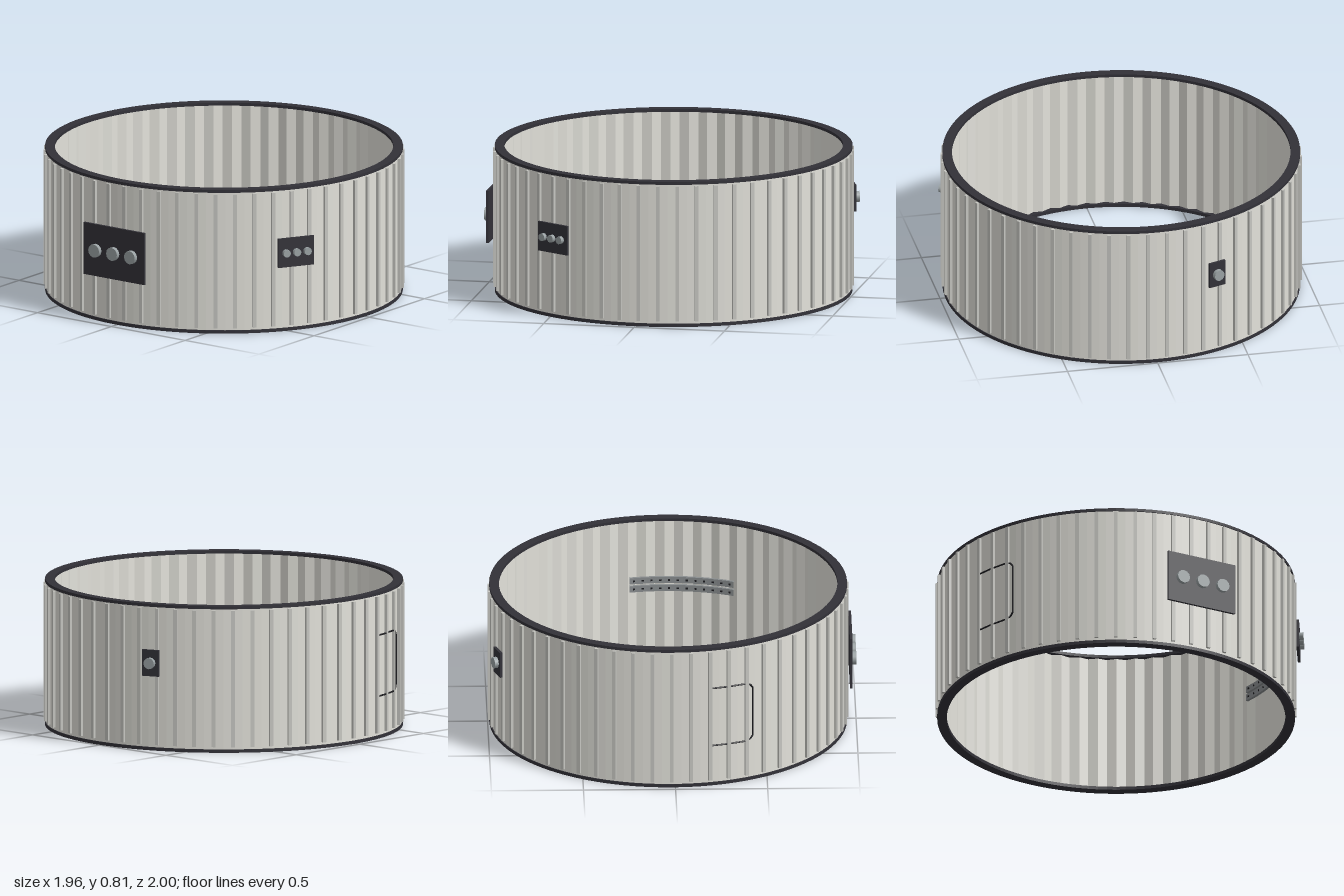
import * as THREE from 'three';

const mat = (name, color) => {
  const m = new THREE.MeshStandardMaterial({ color });
  m.name = name;
  return m;
};

export function createModel() {
  const wallMat = mat('wall light grey', 0xe2e1da);
  const ribMat = mat('rib grey', 0xc6c6c1);
  const darkMat = mat('rim charcoal', 0x323138);
  const plateMat = mat('plate charcoal', 0x333239);
  const buttonMat = mat('button grey', 0x9aa2a4);
  const railMat = mat('rail grey', 0x8a8e90);
  const lineMat = mat('outline black', 0x1c1c20);

  const model = new THREE.Group();
  model.name = 'ringEnclosure';
  const body = new THREE.Group();
  body.name = 'body';
  body.position.z = -0.02;
  model.add(body);

  const COUNT = 58, STEP = Math.PI * 2 / COUNT, RAD = Math.PI / 180;

  const add = (parent, name, geo, material) => {
    const mesh = new THREE.Mesh(geo, material);
    mesh.name = name;
    parent.add(mesh);
    return mesh;
  };
  // Group facing outward at an angle measured from the front towards +x
  const station = (name, angle, radius, y) => {
    const g = new THREE.Group();
    g.name = name;
    g.position.set(Math.sin(angle) * radius, y, Math.cos(angle) * radius);
    g.rotation.y = angle;
    body.add(g);
    return g;
  };
  // Faceted hoop with a rectangular section; fold pushes every second inner edge inward
  const hoop = (r0, r1, y0, y1, sides, start = 0, length = Math.PI * 2, fold = 0) => {
    const pts = [[r0, y0], [r1, y0], [r1, y1], [r0, y1], [r0, y0]].map(p => new THREE.Vector2(...p));
    const lathe = new THREE.LatheGeometry(pts, sides, start, length);
    const pos = lathe.attributes.position;
    for (let i = 0; i < pos.count; i++) {
      const column = Math.floor(i / 5), point = i % 5;
      if (column % 2 || point === 1 || point === 2) continue;
      const k = 1 - fold / r0;
      pos.setXYZ(i, pos.getX(i) * k, pos.getY(i), pos.getZ(i) * k);
    }
    const geo = lathe.toNonIndexed();
    geo.computeVertexNormals();
    return geo;
  };

  // Wall, pleated on the inside, and the two rims
  add(body, 'wall', hoop(0.948, 0.966, 0.012, 0.792, COUNT * 2, STEP / 2, Math.PI * 2, 0.017), wallMat);
  add(body, 'bottomRim', hoop(0.919, 0.971, 0, 0.018, 116), darkMat);
  add(body, 'topRim', hoop(0.919, 0.971, 0.789, 0.805, 116), darkMat);

  // Outer ribs over the seams
  const ribGeo = new THREE.BoxGeometry(0.02, 0.75, 0.024);
  for (let i = 0; i < COUNT; i++) {
    add(station('rib', (i + 0.5) * STEP, 0.968, 0.407), 'outerRib', ribGeo, ribMat);
  }

  // Control plates with round buttons
  const panel = (name, angle, y, w, h, buttons, spacing, r, depth) => {
    const g = station(name, angle, 0.99, y);
    add(g, 'plate', new THREE.BoxGeometry(w, h, 0.014), plateMat);
    const geo = new THREE.CylinderGeometry(r, r, depth, 12).rotateX(Math.PI / 2);
    for (let i = 0; i < buttons; i++) {
      const b = add(g, 'button', geo, buttonMat);
      b.position.set((i - (buttons - 1) / 2) * spacing, 0, 0.007 + depth / 2);
    }
  };
  panel('frontPanel', 0, 0.404, 0.41, 0.29, 3, 0.121, 0.037, 0.022);
  panel('sidePanel', 60 * RAD, 0.445, 0.21, 0.162, 3, 0.062, 0.021, 0.022);
  panel('backPanel', 200 * RAD, 0.484, 0.1, 0.145, 1, 0, 0.031, 0.022);

  // Hatch outline wrapped round the right side, with rounded front corners
  const on = (deg, y) => new THREE.Vector3(Math.sin(deg * RAD) * 0.974, y, Math.cos(deg * RAD) * 0.974);
  const path = new THREE.CurvePath();
  const outline = [[-78, 0.569], [-72, 0.569], [-66, 0.569], [-64, 0.562], [-63, 0.54],
    [-63, 0.264], [-64, 0.241], [-66, 0.234], [-72, 0.234], [-78, 0.234]].map(p => on(...p));
  for (let i = 1; i < outline.length; i++) path.add(new THREE.LineCurve3(outline[i - 1], outline[i]));
  add(body, 'hatchOutline', new THREE.TubeGeometry(path, 120, 0.005, 6, false), lineMat);

  // Twin perforated rails on the inside of the left wall
  const start = 66 * RAD, sweep = 36 * RAD;
  for (const y of [0.397, 0.444]) {
    add(body, 'innerRail', hoop(0.917, 0.932, y - 0.018, y + 0.018, 18, start, sweep), railMat);
    for (let i = 0; i < 12; i++) {
      const g = station('railHole', start + sweep * (i + 0.5) / 12, 0.916, y);
      add(g, 'hole', new THREE.BoxGeometry(0.012, 0.009, 0.004), lineMat);
    }
  }
  return model;
}
